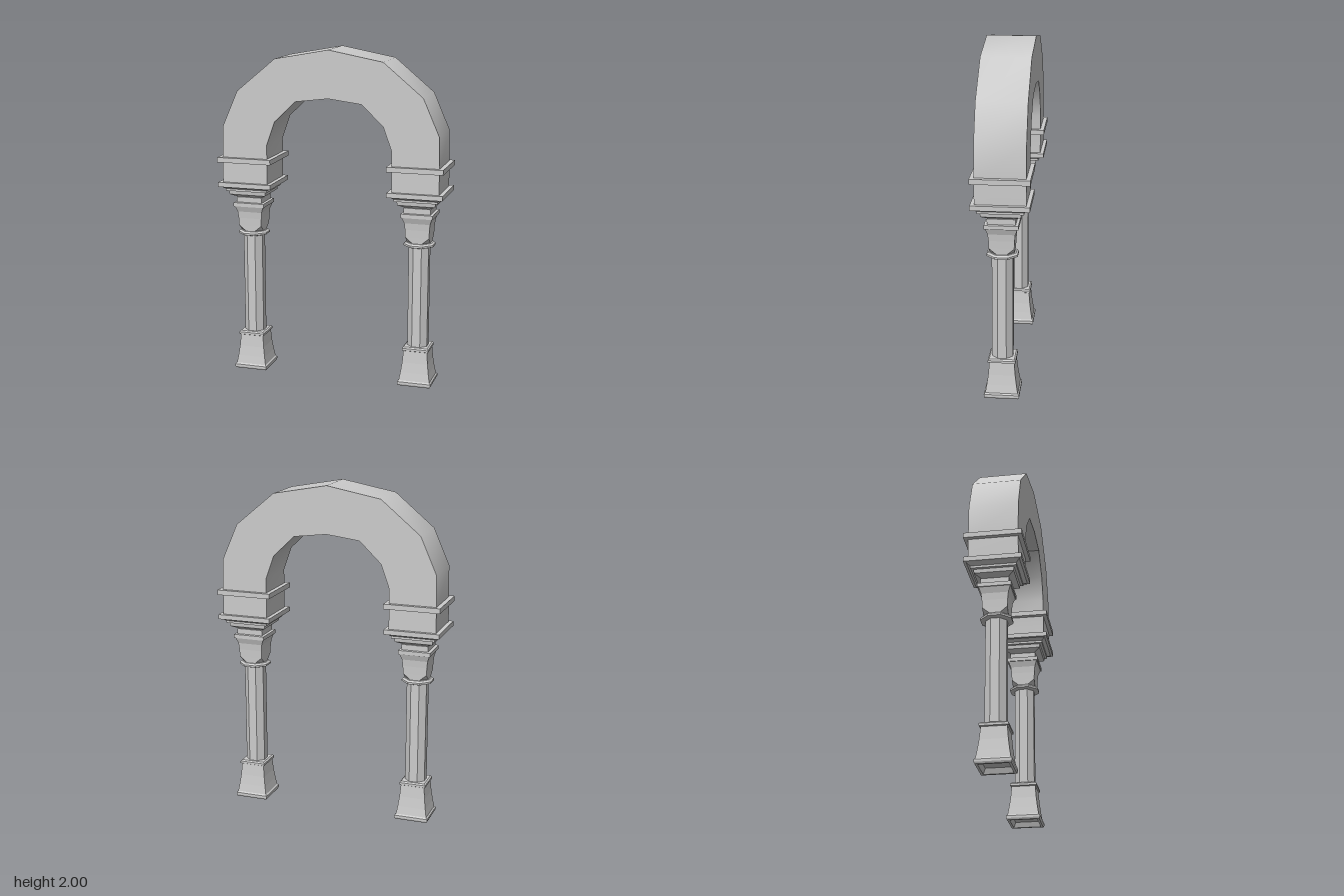
import * as THREE from 'three';
import { toCreasedNormals } from 'three/addons/utils/BufferGeometryUtils.js';

const OCT = 2 - Math.SQRT2; // corner cut that turns a square into a regular octagon

// Stack of chamfered squares, bottom to top: [y, half width, corner cut 0..1]
function loft(rings) {
  const pos = [], index = [];
  for (const [y, h, cut = 0] of rings) {
    const k = h * (1 - cut);
    for (const [x, z] of [[k, h], [h, k], [h, -k], [k, -h], [-k, -h], [-h, -k], [-h, k], [-k, h]]) pos.push(x, y, z);
  }
  for (let r = 0; r < rings.length - 1; r++) {
    for (let i = 0; i < 8; i++) {
      const a = r * 8 + i, b = r * 8 + (i + 1) % 8;
      index.push(a, b, b + 8, a, b + 8, a + 8);
    }
  }
  // End caps
  const top = (rings.length - 1) * 8;
  for (let i = 1; i < 7; i++) index.push(0, i + 1, i, top, top + i, top + i + 1);
  const g = new THREE.BufferGeometry();
  g.setAttribute('position', new THREE.Float32BufferAttribute(pos, 3));
  g.setIndex(index);
  const flat = g.toNonIndexed();
  flat.computeVertexNormals();
  return flat;
}

export function createModel() {
  const group = new THREE.Group();
  const stone = new THREE.MeshStandardMaterial({ color: 0xcccccc, flatShading: true });
  const smoothStone = new THREE.MeshStandardMaterial({ color: 0xcccccc });

  // Arch with straight legs
  const outer = [[0.66, 1.18], [0.66, 1.33], [0.655, 1.53], [0.56, 1.745], [0.325, 1.94]];
  const inner = [[0.2, 1.695], [0.33, 1.57], [0.38, 1.43], [0.38, 1.18]];
  const mirror = (pts) => pts.map(([x, y]) => [-x, y]).reverse();
  const outline = [...outer, [0, 2], ...mirror(outer), ...mirror(inner), [0, 1.72], ...inner];
  const shape = new THREE.Shape(outline.map(([x, y]) => new THREE.Vector2(x, y)));
  const archGeo = new THREE.ExtrudeGeometry(shape, { depth: 0.286, bevelEnabled: false });
  archGeo.translate(0, 0, -0.143);
  const arch = new THREE.Mesh(toCreasedNormals(archGeo, 0.6), smoothStone);
  arch.name = 'arch';
  group.add(arch);

  // Column parts, each as a stack of cross-sections
  const parts = {
    base: [[0.03, 0.07], [0, 0.083], [0, 0.097], [0.01, 0.102], [0.024, 0.102], [0.032, 0.094],
      [0.08, 0.086], [0.14, 0.078], [0.213, 0.072], [0.217, 0.08], [0.23, 0.08], [0.238, 0.072]],
    shaft: [[0.23, 0.06, OCT], [0.87, 0.06, OCT]],
    collar: [[0.852, 0.075, OCT], [0.857, 0.088, OCT], [0.868, 0.088, OCT], [0.878, 0.078, OCT]],
    capital: [[0.872, 0.07, OCT], [0.88, 0.07, OCT], [0.915, 0.071], [0.96, 0.073], [1.0, 0.077],
      [1.035, 0.09], [1.035, 0.096], [1.058, 0.096], [1.06, 0.08], [1.092, 0.08]],
    impost: [[1.09, 0.068], [1.113, 0.112], [1.135, 0.115], [1.137, 0.13], [1.15, 0.13],
      [1.165, 0.15], [1.165, 0.165], [1.193, 0.165]],
    upperBand: [[1.315, 0.167], [1.345, 0.167]],
  };
  const geometries = Object.entries(parts).map(([name, rings]) => [name, loft(rings)]);

  for (const [side, x] of [['left', 0.52], ['right', -0.52]]) {
    const column = new THREE.Group();
    column.name = side + 'Column';
    column.position.x = x;
    for (const [name, geometry] of geometries) {
      const mesh = new THREE.Mesh(geometry, stone);
      mesh.name = name;
      column.add(mesh);
    }
    group.add(column);
  }
  return group;
}
